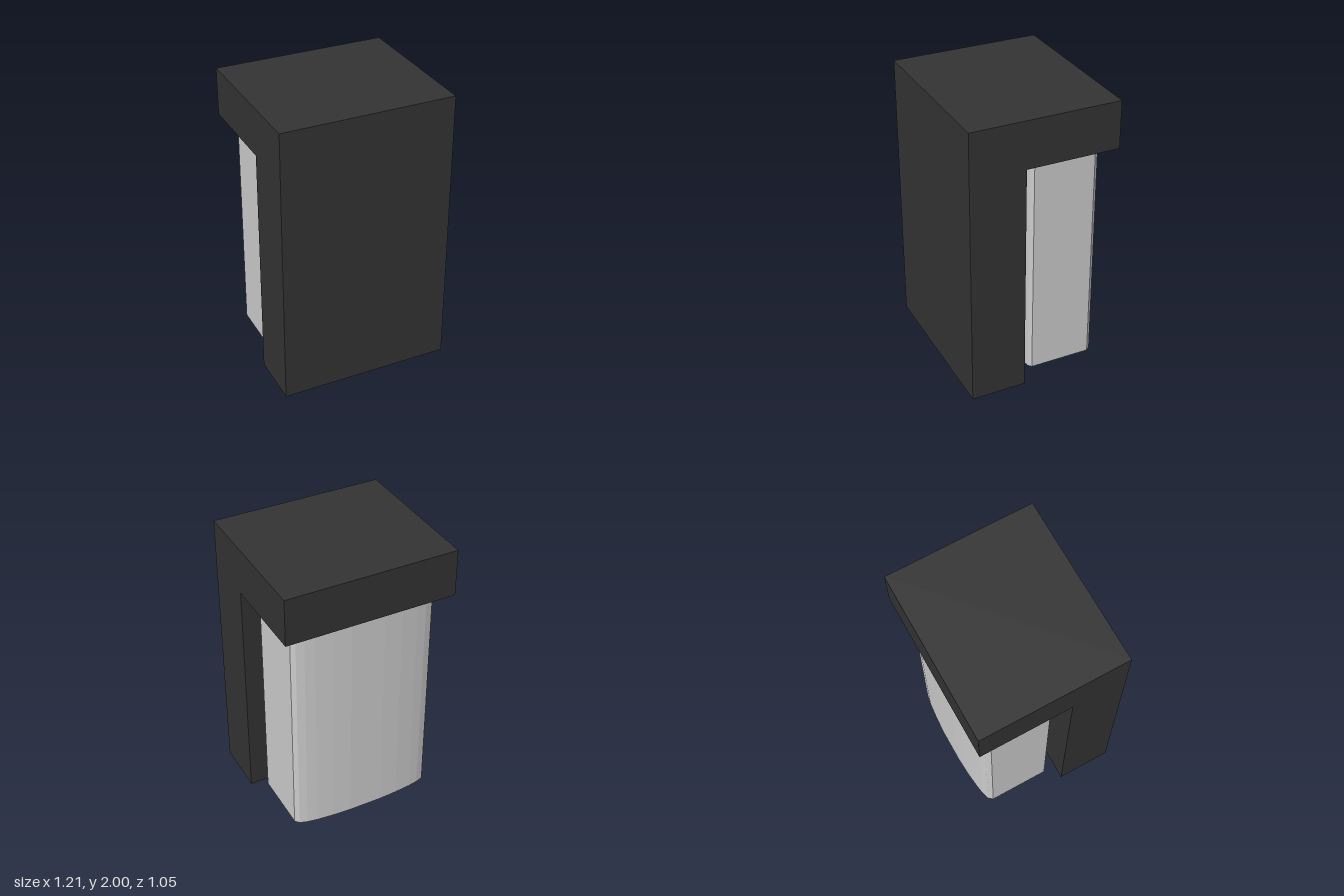
import * as THREE from 'three';

// Extrudes an outline of [x, y] points
function extrude(points, depth) {
  const shape = new THREE.Shape(points.map(([x, y]) => new THREE.Vector2(x, y)));
  return new THREE.ExtrudeGeometry(shape, { depth, bevelEnabled: false });
}

export function createModel() {
  const group = new THREE.Group();
  const dark = new THREE.MeshStandardMaterial({ color: 0x333333 });
  const grey = new THREE.MeshStandardMaterial({ color: 0xcccccc });

  // Front wall and overhanging top in one L-shaped piece, extruded across x
  const width = 1.21, half = 0.525, wallBack = 0.135, overhang = 1.665;
  const profile = [
    [-half, 0], [-wallBack, 0], [-wallBack, overhang],
    [half, overhang], [half, 2], [-half, 2],
  ];
  const housingGeometry = extrude(profile, width);
  housingGeometry.translate(0, 0, -width / 2);
  housingGeometry.rotateY(Math.PI / 2);
  const housing = new THREE.Mesh(housingGeometry, dark);
  housing.name = 'housing';
  group.add(housing);

  // Hanging block: straight sides, gently bowed front and back; y is towards the back
  const rightHalf = [
    [0.12, -0.085], [0.25, -0.08], [0.37, -0.072], [0.44, -0.064], [0.493, -0.054], [0.517, -0.035],
    [0.517, 0.40], [0.493, 0.43], [0.44, 0.447], [0.37, 0.459], [0.25, 0.471], [0.12, 0.478],
  ];
  const leftHalf = rightHalf.map(([x, y]) => [-x, y]).reverse();
  const bottom = 0.05;
  const blockGeometry = extrude([...rightHalf, ...leftHalf], overhang - bottom);
  blockGeometry.rotateX(-Math.PI / 2);
  const block = new THREE.Mesh(blockGeometry, grey);
  block.name = 'hangingBlock';
  block.position.y = bottom;
  group.add(block);

  return group;
}
